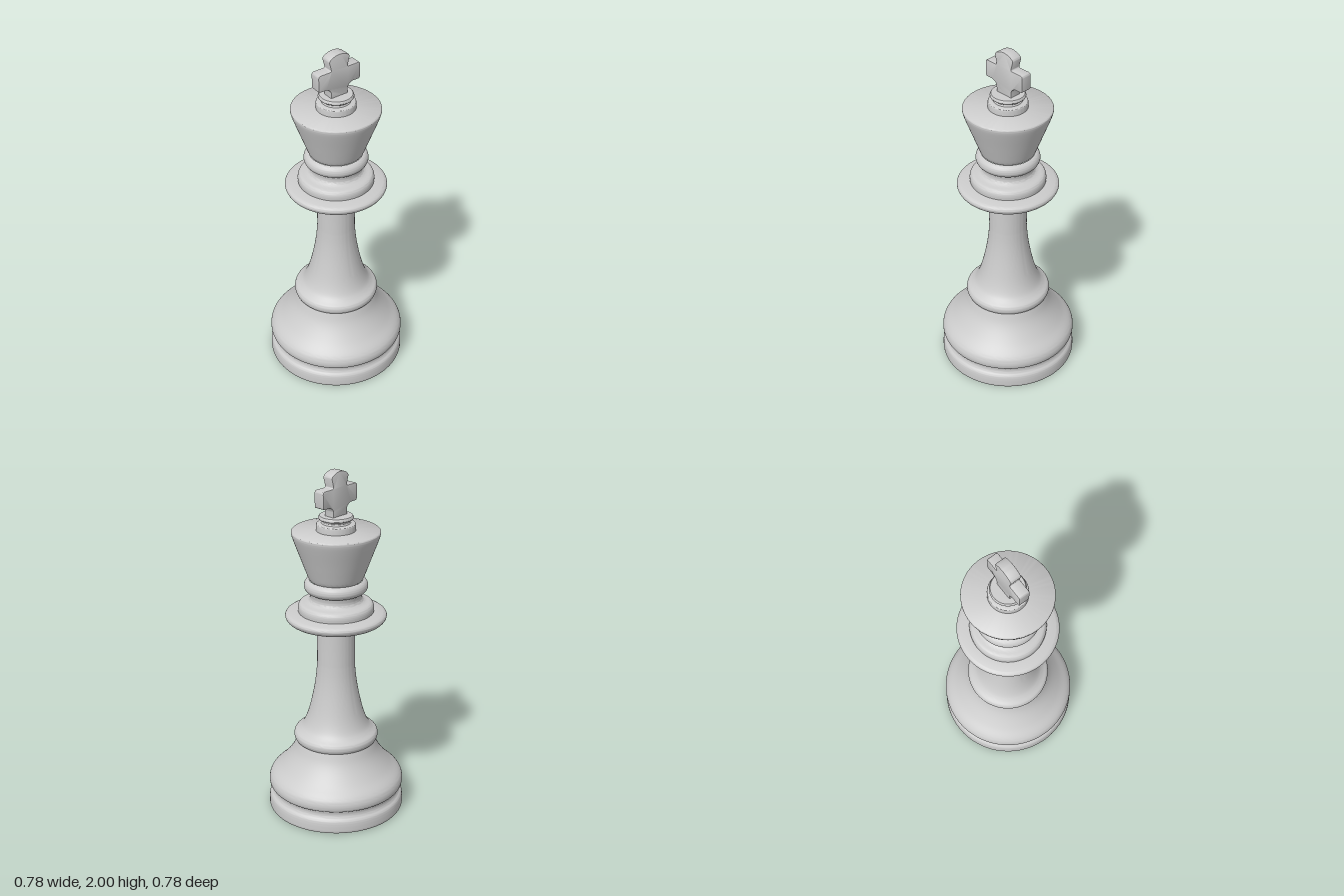
import * as THREE from 'three';
import { toCreasedNormals } from 'three/addons/utils/BufferGeometryUtils.js';

const material = new THREE.MeshStandardMaterial({ color: 0xcccccc });

// Each run of [radius, height] points becomes a smooth curve; runs meet at crisp edges.
function turned(name, runs) {
  const points = [];
  for (const run of runs) {
    const knots = run.map(([r, y]) => new THREE.Vector2(r, y));
    const line = knots.length > 2 ? new THREE.SplineCurve(knots).getPoints((knots.length - 1) * 4) : knots;
    for (const p of line) {
      p.x = Math.max(p.x, 0);
      if (!points.length || points[points.length - 1].distanceTo(p) > 1e-5) points.push(p);
    }
  }
  const mesh = new THREE.Mesh(toCreasedNormals(new THREE.LatheGeometry(points, 96), 0.7), material);
  mesh.name = name;
  return mesh;
}

// Flat cross with flared head, rounded arm corners and a slightly softened edge
function makeCross() {
  const s = new THREE.Shape();
  s.moveTo(-0.05, 1.74);
  s.lineTo(0.05, 1.74);
  s.lineTo(0.05, 1.785);
  s.quadraticCurveTo(0.055, 1.81, 0.085, 1.817);
  s.lineTo(0.12, 1.817);
  s.quadraticCurveTo(0.13, 1.817, 0.13, 1.827);
  s.lineTo(0.13, 1.898);
  s.quadraticCurveTo(0.13, 1.908, 0.12, 1.908);
  s.lineTo(0.06, 1.908);
  s.quadraticCurveTo(0.046, 1.91, 0.05, 1.925);
  s.lineTo(0.061, 1.965);
  s.quadraticCurveTo(0.062, 1.975, 0.05, 1.982);
  s.quadraticCurveTo(0.025, 1.996, 0, 1.996);
  s.quadraticCurveTo(-0.025, 1.996, -0.05, 1.982);
  s.quadraticCurveTo(-0.062, 1.975, -0.061, 1.965);
  s.lineTo(-0.05, 1.925);
  s.quadraticCurveTo(-0.046, 1.91, -0.06, 1.908);
  s.lineTo(-0.12, 1.908);
  s.quadraticCurveTo(-0.13, 1.908, -0.13, 1.898);
  s.lineTo(-0.13, 1.827);
  s.quadraticCurveTo(-0.13, 1.817, -0.12, 1.817);
  s.lineTo(-0.085, 1.817);
  s.quadraticCurveTo(-0.055, 1.81, -0.05, 1.785);
  s.closePath();
  const geometry = new THREE.ExtrudeGeometry(s, {
    depth: 0.056, bevelThickness: 0.004, bevelSize: 0.004, bevelSegments: 2, curveSegments: 6,
  });
  geometry.translate(0, 0, -0.028);
  const mesh = new THREE.Mesh(toCreasedNormals(geometry, 0.6), material);
  mesh.name = 'cross';
  return mesh;
}

export function createModel() {
  const group = new THREE.Group();
  group.name = 'chessKing';
  group.add(
    // Foot disc, groove and bell-shaped base
    turned('base', [
      [[0, 0], [0.375, 0]],
      [[0.375, 0], [0.387, 0.004], [0.39, 0.015]],
      [[0.39, 0.015], [0.389, 0.05], [0.384, 0.075], [0.371, 0.09], [0.365, 0.108], [0.368, 0.13]],
      [[0.368, 0.13], [0.382, 0.138], [0.388, 0.16], [0.383, 0.19], [0.365, 0.217], [0.32, 0.26],
        [0.275, 0.315], [0.245, 0.365], [0.225, 0.42]],
    ]),
    // Rounded ring flowing into the tapering stem
    turned('stem', [
      [[0.22, 0.418], [0.232, 0.423], [0.24, 0.443], [0.235, 0.468], [0.21, 0.488], [0.187, 0.515],
        [0.165, 0.565], [0.145, 0.635], [0.125, 0.73], [0.112, 0.82], [0.106, 0.9]],
      [[0.106, 0.9], [0.105, 1.14]],
    ]),
    // Wide collar with a stepped neck
    turned('collar', [
      [[0.09, 1.128], [0.17, 1.13], [0.23, 1.139], [0.268, 1.155], [0.282, 1.177], [0.277, 1.192], [0.262, 1.2]],
      [[0.262, 1.2], [0.21, 1.205]],
      [[0.21, 1.205], [0.211, 1.225], [0.207, 1.242], [0.195, 1.255], [0.165, 1.262], [0.148, 1.272]],
      [[0.148, 1.272], [0.143, 1.29], [0.147, 1.318]],
    ]),
    // Bead below the crown
    turned('neckRing', [
      [[0.14, 1.315], [0.163, 1.324], [0.176, 1.345], [0.174, 1.368], [0.162, 1.384], [0.148, 1.39]],
    ]),
    // Flaring crown with a flat top
    turned('crown', [
      [[0.14, 1.385], [0.152, 1.4], [0.175, 1.46], [0.2, 1.528], [0.225, 1.595], [0.239, 1.635], [0.244, 1.655]],
      [[0.244, 1.655], [0.243, 1.664], [0.236, 1.669]],
      [[0.236, 1.669], [0, 1.67]],
    ]),
    // Two-step mount under the cross
    turned('finial', [
      [[0.108, 1.665], [0.108, 1.698]],
      [[0.108, 1.698], [0.106, 1.706], [0.098, 1.709]],
      [[0.098, 1.709], [0.08, 1.711]],
      [[0.08, 1.711], [0.076, 1.72], [0.082, 1.73]],
      [[0.082, 1.73], [0.094, 1.734], [0.096, 1.744], [0.09, 1.753]],
      [[0.09, 1.753], [0, 1.755]],
    ]),
    makeCross(),
  );
  return group;
}
